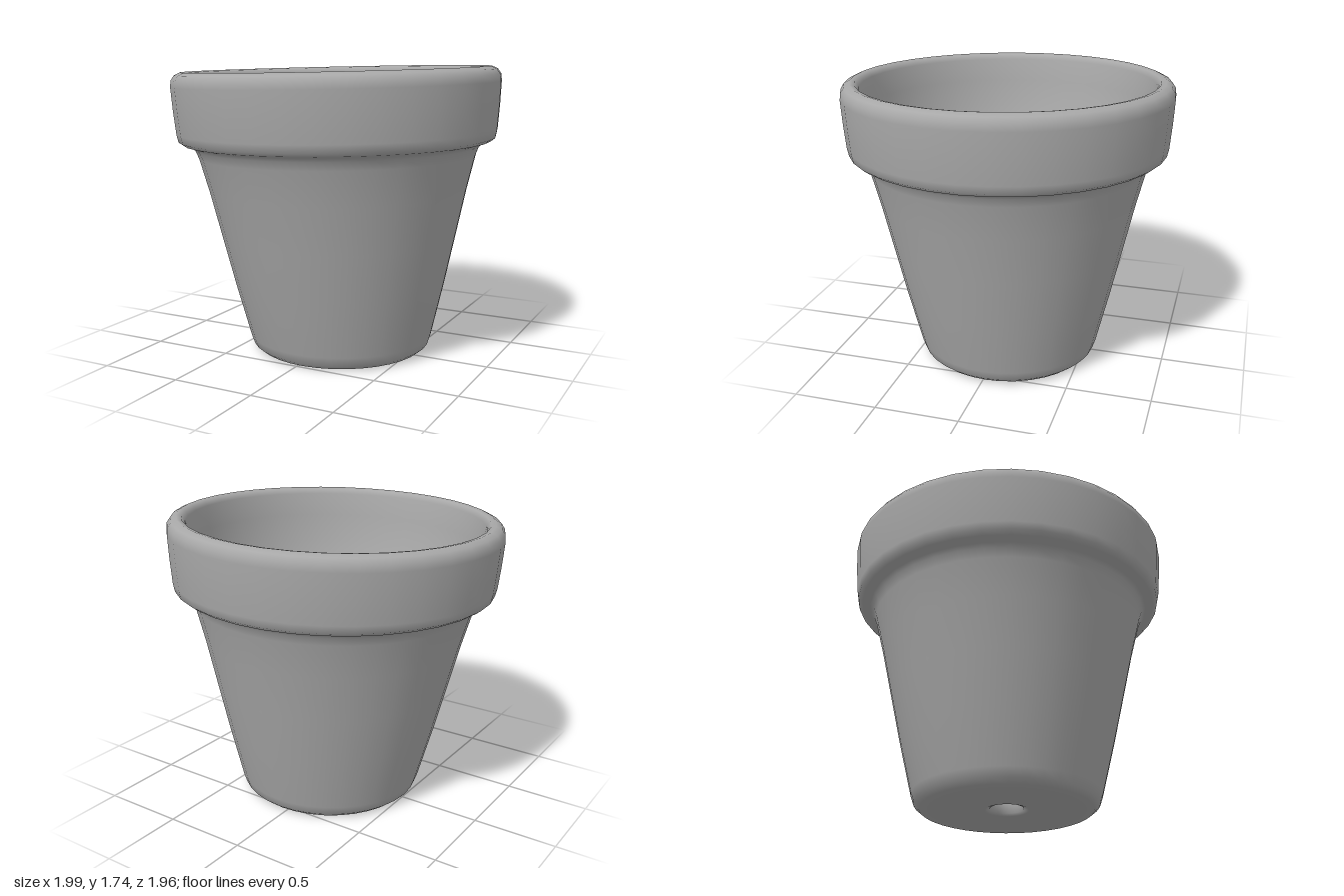
import * as THREE from 'three';
import { mergeVertices } from 'three/addons/utils/BufferGeometryUtils.js';

const clay = new THREE.MeshStandardMaterial({ color: 0xa8a8a8 });
clay.name = 'grey clay';

// Closed wall section as [radius, height], from the drain hole outwards, up, over the rim and back down inside
const section = [
  [0.1, 0.02], [0.13, 0.01], [0.3, 0.01], [0.46, 0.004], [0.52, 0.008], [0.553, 0.035], [0.572, 0.09],
  [0.655, 0.42], [0.725, 0.72], [0.79, 1.0], [0.845, 1.21], [0.865, 1.26], [0.885, 1.28],
  [0.935, 1.295], [0.962, 1.315], [0.972, 1.36], [0.985, 1.5], [0.994, 1.64], [0.99, 1.68],
  [0.97, 1.71], [0.935, 1.726], [0.905, 1.72], [0.885, 1.69],
  [0.865, 1.55], [0.835, 1.38], [0.8, 1.29], [0.72, 1.0], [0.62, 0.6], [0.52, 0.24],
  [0.485, 0.15], [0.435, 0.12], [0.3, 0.11], [0.13, 0.11], [0.1, 0.1], [0.1, 0.02],
];

// Turn the section, then lean and tilt it slightly for a hand-made look
function potGeometry() {
  let geometry = new THREE.LatheGeometry(section.map(([r, y]) => new THREE.Vector2(r, y)), 36);
  geometry.deleteAttribute('uv');
  geometry.deleteAttribute('normal');
  const p = geometry.attributes.position;
  for (let i = 0; i < p.count; i++) {
    const x = p.getX(i), y = p.getY(i), z = p.getZ(i);
    const up = y / 1.726;
    p.setXYZ(i,
      x + 0.033 * (1 - up),
      y + up * (0.02 * x - 0.009 * z) + 0.004 * x * (1 - up),
      z * 0.985 - 0.02 * (1 - up));
  }
  geometry = mergeVertices(geometry, 1e-4);
  geometry.computeVertexNormals();
  return geometry;
}

export function createModel() {
  const group = new THREE.Group();
  group.name = 'flowerPot';
  const pot = new THREE.Mesh(potGeometry(), clay);
  pot.name = 'potWithRimAndDrainHole';
  group.add(pot);
  return group;
}
